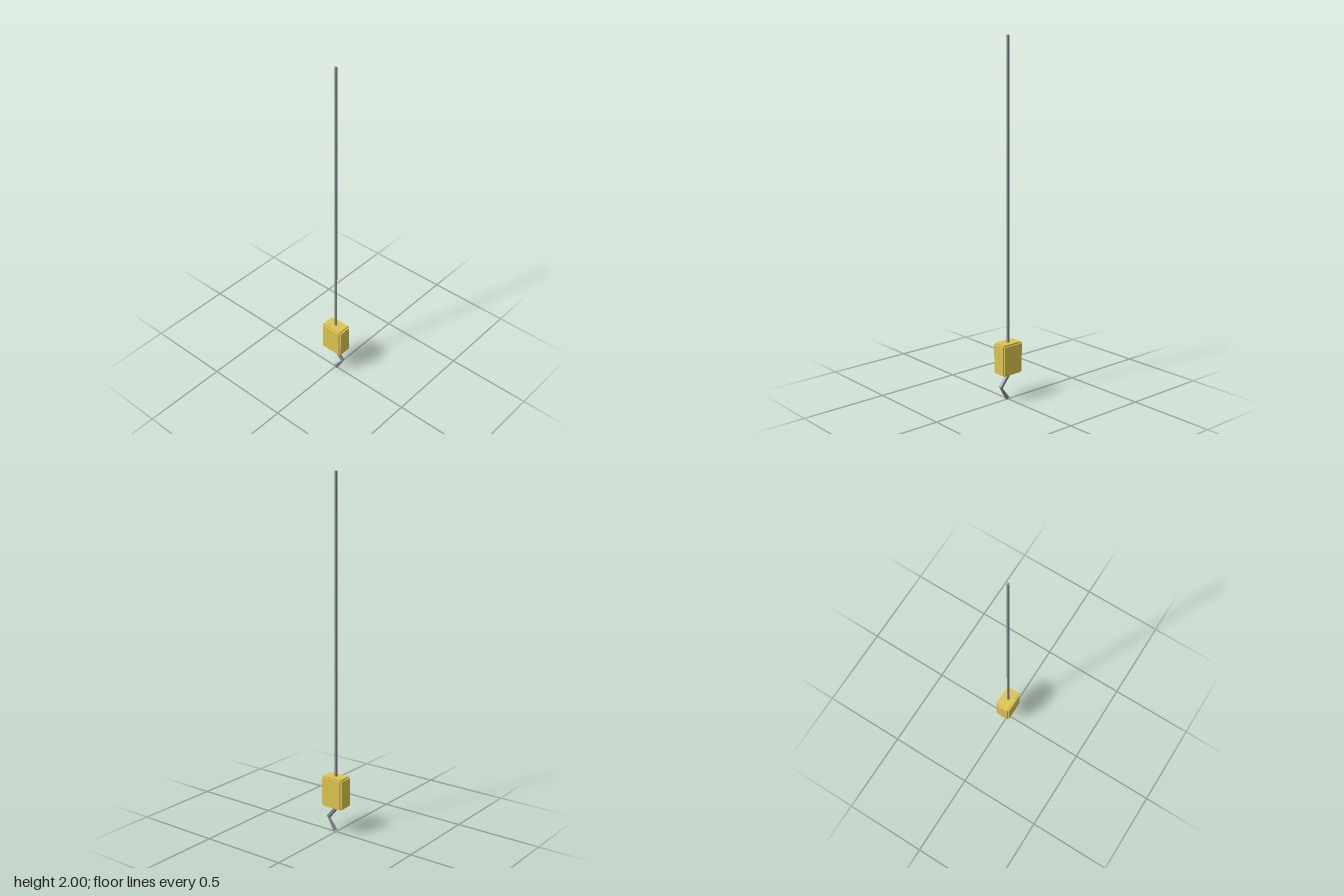
import * as THREE from 'three';

export function createModel() {
  const model = new THREE.Group();
  const yellow = new THREE.MeshStandardMaterial({ color: 0xdcc350, flatShading: true });
  const steel = new THREE.MeshStandardMaterial({ color: 0x85858f, flatShading: true });

  const add = (name, geometry, material, parent = model) => {
    const mesh = new THREE.Mesh(geometry, material);
    mesh.name = name;
    parent.add(mesh);
    return mesh;
  };

  // Five-sided bar between two points, with a radius at each end
  const bar = (name, from, to, rFrom, rTo) => {
    const a = new THREE.Vector3(...from), b = new THREE.Vector3(...to);
    const dir = b.clone().sub(a);
    const mesh = add(name, new THREE.CylinderGeometry(rTo, rFrom, dir.length(), 5), steel);
    mesh.position.copy(a).add(b).multiplyScalar(0.5);
    mesh.quaternion.setFromUnitVectors(new THREE.Vector3(0, 1, 0), dir.normalize());
  };

  // Long hoisting cable
  bar('cable', [0, 0.3, 0], [0, 2, 0], 0.008, 0.008);

  // Hook block: three crossing boxes leave stepped edges
  const block = new THREE.Group();
  block.name = 'hookBlock';
  block.position.set(0, 0.244, -0.001);
  model.add(block);
  add('blockCore', new THREE.BoxGeometry(0.12, 0.178, 0.073), yellow, block);
  add('sidePanels', new THREE.BoxGeometry(0.138, 0.16, 0.073), yellow, block);
  add('facePanels', new THREE.BoxGeometry(0.12, 0.16, 0.091), yellow, block);

  // Bent hook: upper arm and flared tip
  bar('hookArm', [-0.006, 0.152, 0], [0.053, 0.08, 0], 0.012, 0.012);
  bar('hookTip', [0.054, 0.083, 0], [0.004, 0.008, 0], 0.006, 0.013);

  return model;
}
